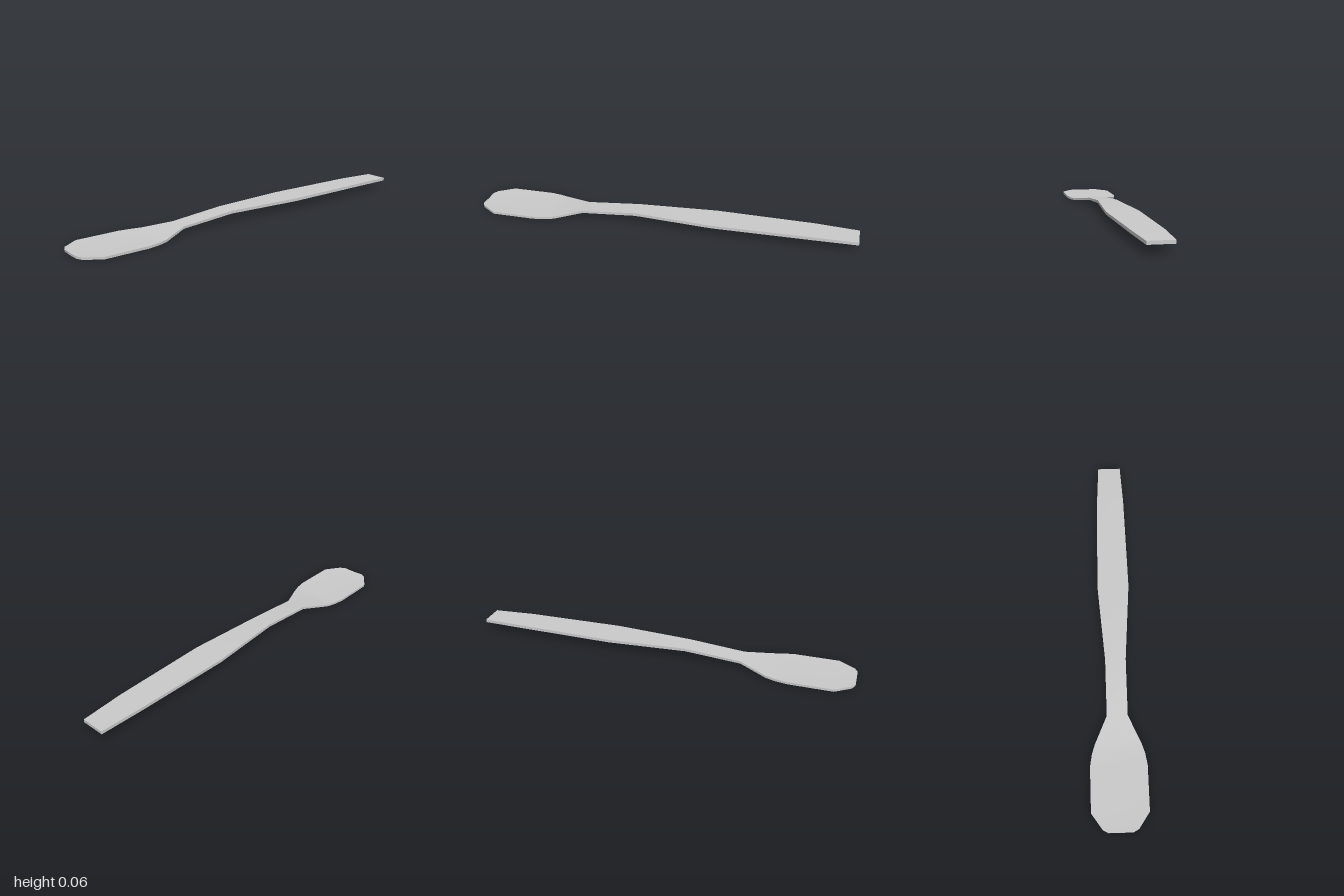
import * as THREE from 'three';
import { toCreasedNormals } from 'three/addons/utils/BufferGeometryUtils.js';

// Cross-sections along the length: x, half width, bottom y, top y, dip of the centre line
const SECTIONS = [
  [-1.0, 0.06, 0.005, 0.016, 0.002],
  [-0.985, 0.088, 0.004, 0.016, 0.003],
  [-0.905, 0.143, 0.004, 0.016, 0.004],
  [-0.68, 0.143, 0.004, 0.016, 0.004],
  [-0.62, 0.133, 0.004, 0.016, 0.003],
  [-0.57, 0.117, 0.005, 0.017, 0.002],
  [-0.43, 0.053, 0.025, 0.037, 0],
  [-0.14, 0.053, 0.047, 0.062, 0],
  [0.27, 0.083, 0.047, 0.062, 0],
  [0.78, 0.073, 0.046, 0.062, 0],
  [1.0, 0.061, 0.042, 0.058, 0],
];

// Skins six-point rings (three on top, three underneath) and closes both ends
function loft(sections) {
  const positions = [], index = [], n = 6;
  for (const [x, w, y0, y1, dip] of sections) {
    positions.push(x, y1, -w, x, y1 - dip, 0, x, y1, w);
    positions.push(x, y0, w, x, y0 - dip, 0, x, y0, -w);
  }
  const quad = (a, b, c, d) => index.push(a, b, c, a, c, d);
  for (let i = 0; i < sections.length - 1; i++) {
    for (let j = 0; j < n; j++) {
      const k = (j + 1) % n;
      quad(i * n + j, i * n + k, (i + 1) * n + k, (i + 1) * n + j);
    }
  }
  const e = (sections.length - 1) * n;
  quad(5, 4, 1, 0);
  quad(4, 3, 2, 1);
  quad(e, e + 1, e + 4, e + 5);
  quad(e + 1, e + 2, e + 3, e + 4);
  const geometry = new THREE.BufferGeometry();
  geometry.setAttribute('position', new THREE.Float32BufferAttribute(positions, 3));
  geometry.setIndex(index);
  return toCreasedNormals(geometry, Math.PI / 6);
}

export function createModel() {
  const model = new THREE.Group();
  model.name = 'spatula';
  // Blade, neck and handle are one continuous strip
  const body = new THREE.Mesh(loft(SECTIONS), new THREE.MeshStandardMaterial({ color: 0xcccccc }));
  body.name = 'bladeAndHandle';
  model.add(body);
  return model;
}
